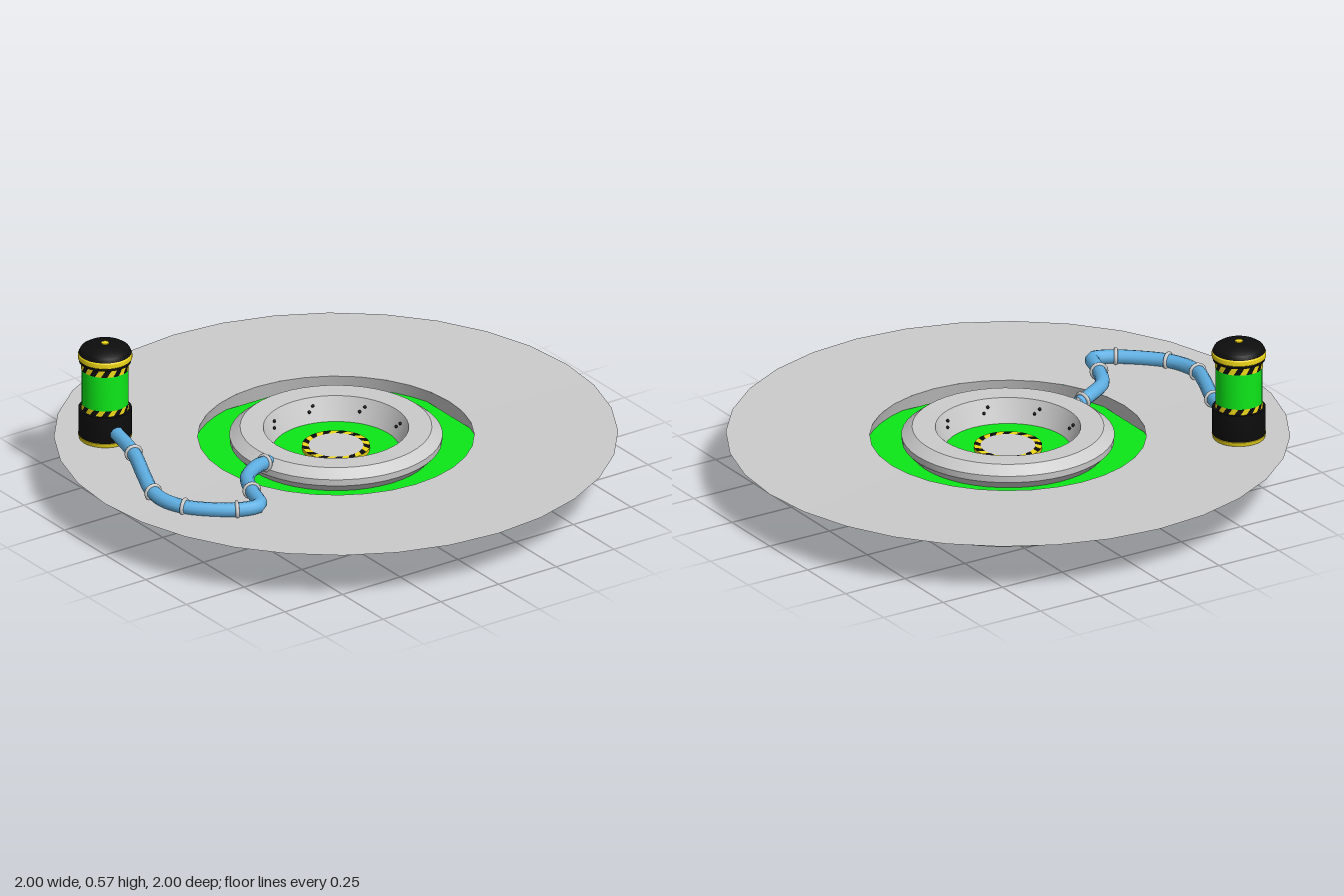
import * as THREE from 'three';
import { toCreasedNormals, mergeGeometries } from 'three/addons/utils/BufferGeometryUtils.js';

const mat = (color, side = THREE.FrontSide) => new THREE.MeshStandardMaterial({ color, side });
const DS = THREE.DoubleSide;
const GREEN = 0x0de818, BLACK = 0x0d0d0d, YELLOW = 0xf0d818, BLUE = 0x5fb0e4, GREY = 0xcccccc;

function add(parent, name, geometry, material) {
  const mesh = new THREE.Mesh(geometry, material);
  mesh.name = name;
  parent.add(mesh);
  return mesh;
}

// Turned part from [radius, height] points, listed upwards on the outside
function turned(points, segments = 32) {
  const g = new THREE.LatheGeometry(points.map(p => new THREE.Vector2(...p)), segments);
  return toCreasedNormals(g, 0.5);
}

// Ring of slanted warning stripes between two [radius, height] edges
function warningBand(parent, name, from, to, pairs, twist) {
  const band = new THREE.Group();
  band.name = name;
  const step = Math.PI / pairs;
  const stripes = [[], []];
  for (let i = 0; i < pairs * 2; i++) {
    const g = new THREE.LatheGeometry(
      [from, to].map(p => new THREE.Vector2(...p)), 2, i * step, step);
    const pos = g.attributes.position, uv = g.attributes.uv;
    const v = new THREE.Vector3(), up = new THREE.Vector3(0, 1, 0);
    for (let k = 0; k < pos.count; k++) {
      v.fromBufferAttribute(pos, k).applyAxisAngle(up, uv.getY(k) * twist);
      pos.setXYZ(k, v.x, v.y, v.z);
    }
    g.computeVertexNormals();
    stripes[i % 2].push(g);
  }
  add(band, 'yellowStripes', mergeGeometries(stripes[0]), mat(YELLOW));
  add(band, 'blackStripes', mergeGeometries(stripes[1]), mat(BLACK));
  parent.add(band);
}

function createPlatform() {
  const g = new THREE.Group();
  g.name = 'platform';
  add(g, 'floorDisc', turned([[1, 0.2], [0.49, 0.194]]), mat(GREY, DS));
  add(g, 'baseWall', turned([[0.545, 0], [0.49, 0.194]], 48), mat(GREY, DS));

  // Square panel whose corners pass through the base wall
  const panel = new THREE.PlaneGeometry(0.974, 0.974).rotateX(-Math.PI / 2);
  add(g, 'greenPanel', panel, mat(GREEN, DS)).position.y = 0.142;

  add(g, 'raisedRing', turned([
    [0.345, 0.142], [0.376, 0.175], [0.378, 0.2], [0.34, 0.23],
    [0.258, 0.228], [0.225, 0.142],
  ], 48), mat(GREY));

  // Pairs of small bolts around the inner slope of the ring
  const boltGeo = new THREE.SphereGeometry(0.006, 8, 6);
  const bolts = new THREE.Group();
  bolts.name = 'bolts';
  for (let i = 0; i < 8; i++) {
    for (const side of [-1, 1]) {
      const a = 0.23 + i * Math.PI / 4 + side * 0.035;
      const r = 0.237 + side * 0.004;
      add(bolts, 'bolt', boltGeo, mat(BLACK))
        .position.set(Math.cos(a) * r, 0.193 + side * 0.009, Math.sin(a) * r);
    }
  }
  g.add(bolts);

  // Centre plate with striped border
  add(g, 'centrePlate', turned([[0, 0.136], [0.112, 0.136], [0.112, 0.155], [0, 0.155]]), mat(GREY));
  add(g, 'plateLip', turned([[0.11, 0.137], [0.12, 0.137], [0.12, 0.156]]), mat(YELLOW));
  warningBand(g, 'plateBorder', [0.121, 0.157], [0.097, 0.157], 13, 0.14);
  return g;
}

function createCanister() {
  const g = new THREE.Group();
  g.name = 'canister';
  add(g, 'base', turned([
    [0, 0.193], [0.088, 0.193], [0.095, 0.212], [0.095, 0.316], [0.083, 0.316],
  ]), mat(BLACK));
  add(g, 'baseTrim', turned([[0.087, 0.194], [0.093, 0.2], [0.0965, 0.214], [0.094, 0.216]]), mat(YELLOW));
  add(g, 'tank', turned([[0.083, 0.31], [0.083, 0.505]]), mat(GREEN));
  warningBand(g, 'lowerStripes', [0.0855, 0.314], [0.0855, 0.338], 12, 0.2);
  warningBand(g, 'upperStripes', [0.0855, 0.47], [0.0855, 0.498], 12, 0.2);
  add(g, 'lid', turned([
    [0.082, 0.496], [0.093, 0.498], [0.094, 0.532], [0.087, 0.546],
    [0.07, 0.557], [0.04, 0.564], [0, 0.566],
  ]), mat(BLACK));
  add(g, 'lidTrim', turned([[0.093, 0.507], [0.0965, 0.51], [0.0965, 0.526], [0.093, 0.532]]), mat(YELLOW));
  add(g, 'lidButton', turned([[0.014, 0.562], [0.014, 0.569], [0, 0.57]], 12), mat(YELLOW));
  g.position.set(-0.68, 0, -0.455);
  return g;
}

function createHose() {
  const g = new THREE.Group();
  g.name = 'hose';
  const path = new THREE.CatmullRomCurve3([
    [-0.69, 0.25, -0.38], [-0.725, 0.243, -0.22], [-0.795, 0.232, -0.05],
    [-0.832, 0.224, 0.05], [-0.835, 0.219, 0.13], [-0.805, 0.217, 0.21],
    [-0.72, 0.217, 0.3], [-0.645, 0.219, 0.35], [-0.585, 0.222, 0.36],
    [-0.545, 0.224, 0.26], [-0.49, 0.224, 0.15], [-0.4, 0.222, 0.09],
    [-0.34, 0.212, 0.07],
  ].map(p => new THREE.Vector3(...p)), false, 'centripetal');
  add(g, 'pipe', new THREE.TubeGeometry(path, 60, 0.026, 10), mat(BLUE, DS));

  // Collars: placed at path points, aligned with the pipe
  const collarGeo = new THREE.TorusGeometry(0.027, 0.007, 8, 16);
  for (const i of [1.05, 3.1, 5, 6.7, 9.1, 11.6]) {
    const t = i / 12;
    const collar = add(g, 'collar', collarGeo, mat(GREY));
    collar.position.copy(path.getPoint(t));
    collar.lookAt(collar.position.clone().add(path.getTangent(t)));
  }
  return g;
}

export function createModel() {
  const model = new THREE.Group();
  model.name = 'model';
  model.add(createPlatform(), createCanister(), createHose());
  return model;
}
